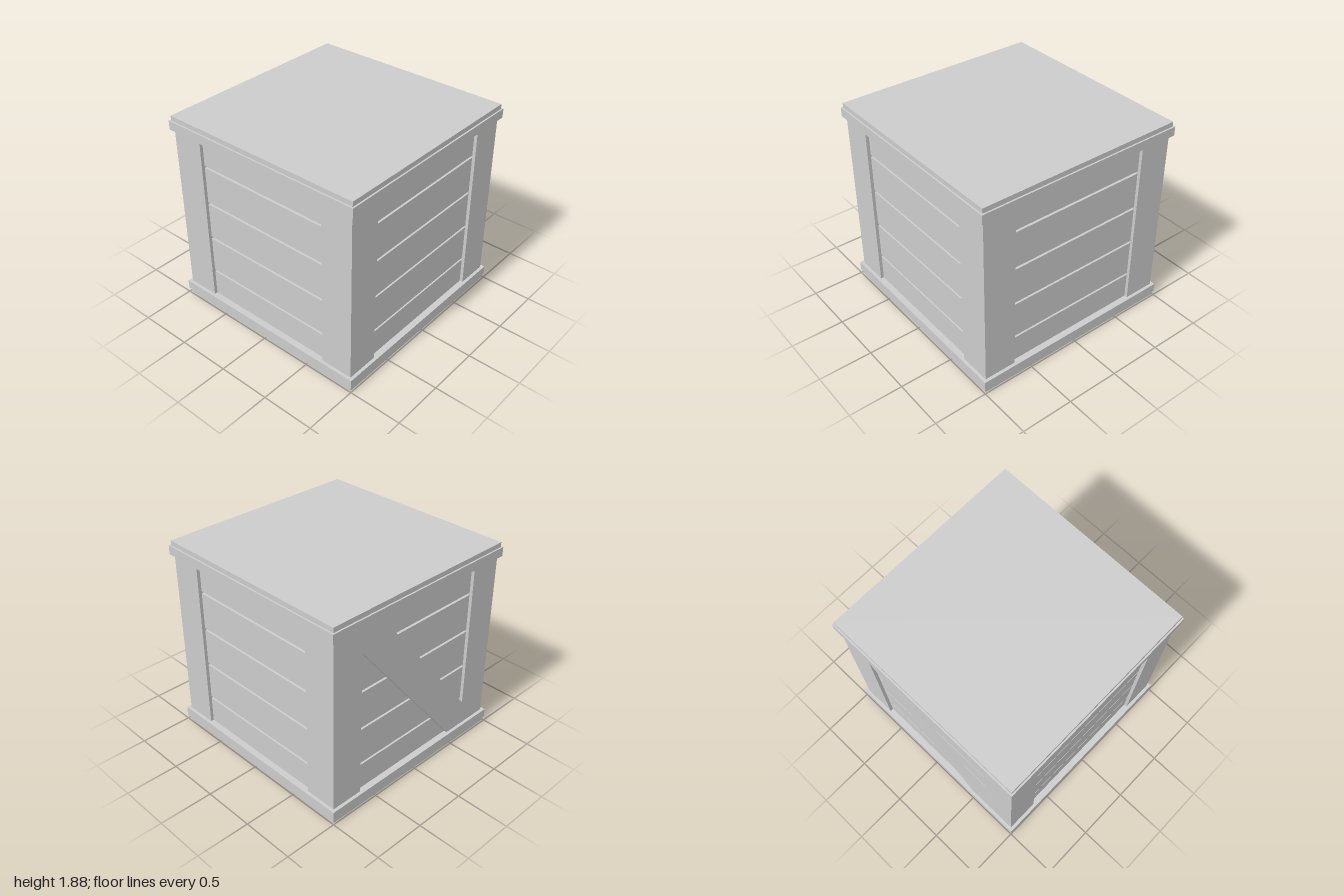
import * as THREE from 'three';

const material = new THREE.MeshStandardMaterial({ color: 0xcccccc, flatShading: true });

// Key sizes: post outer face, opening half width, plank face, groove floor
const POST = 0.97, OPEN = 0.665, PLANK = 0.94, CORE = 0.905;
const BOTTOM = 0.13, TOP = 1.75;

function add(parent, name, geometry) {
  const mesh = new THREE.Mesh(geometry, material);
  mesh.name = name;
  parent.add(mesh);
  return mesh;
}

// Square layer of half width r between two heights
function layer(parent, name, r, y0, y1) {
  add(parent, name, new THREE.BoxGeometry(2 * r, y1 - y0, 2 * r)).position.y = (y0 + y1) / 2;
}

function extrude(points, depth) {
  const shape = new THREE.Shape(points.map(([x, y]) => new THREE.Vector2(x, y)));
  return new THREE.ExtrudeGeometry(shape, { depth, bevelEnabled: false });
}

export function createModel() {
  const crate = new THREE.Group();
  crate.name = 'crate';

  // Base and lid: a wide rim with a slightly inset panel
  layer(crate, 'basePanel', 0.985, 0, 0.045);
  layer(crate, 'baseRim', 1, 0.045, BOTTOM);
  layer(crate, 'lidRim', 1, TOP, 1.835);
  layer(crate, 'lidPanel', 0.985, 1.835, 1.88);

  // Inner core seen at the bottom of the gaps between planks
  layer(crate, 'core', CORE, BOTTOM, TOP);

  // Five courses of planks, parted by narrow gaps, on each of four sides
  const gap = 0.022, pitch = 0.366, firstGap = 0.392;
  for (let side = 0; side < 4; side++) {
    const wall = new THREE.Group();
    wall.name = 'plankWall';
    wall.rotation.y = side * Math.PI / 2;
    crate.add(wall);
    for (let i = 0; i < 5; i++) {
      const y0 = i === 0 ? BOTTOM : firstGap + (i - 1) * pitch + gap / 2;
      const y1 = i === 4 ? TOP : firstGap + i * pitch - gap / 2;
      const plank = add(wall, 'plank', new THREE.BoxGeometry(1.4, y1 - y0, PLANK - CORE));
      plank.position.set(0, (y0 + y1) / 2, (PLANK + CORE) / 2);
    }
  }

  // L-shaped corner posts
  const corner = [
    [POST, POST], [OPEN, POST], [OPEN, CORE], [CORE, CORE], [CORE, OPEN], [POST, OPEN],
  ];
  for (let i = 0; i < 4; i++) {
    const geometry = extrude(corner, TOP - BOTTOM).rotateX(-Math.PI / 2);
    const post = add(crate, 'cornerPost', geometry);
    post.position.y = BOTTOM;
    post.rotation.y = i * Math.PI / 2;
  }

  // Diagonal brace across the back, trimmed to the opening
  const dx = 0.195, dy = 0.237;
  const brace = add(crate, 'backBrace', extrude([
    [OPEN, TOP], [OPEN - dx, TOP], [-OPEN, BOTTOM + dy],
    [-OPEN, BOTTOM], [-OPEN + dx, BOTTOM], [OPEN, TOP - dy],
  ], POST - CORE));
  brace.position.z = -POST;

  return crate;
}
